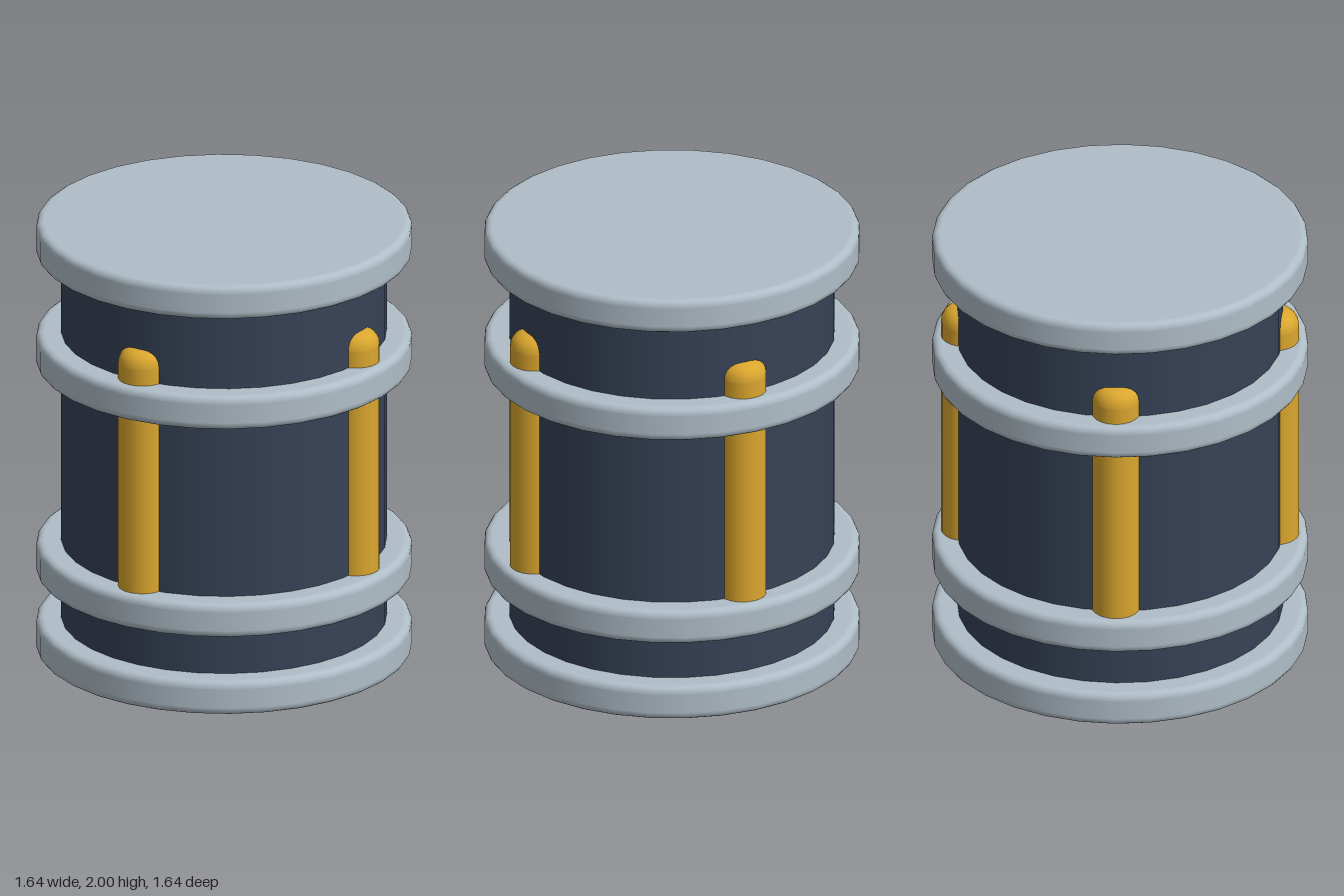
import * as THREE from 'three';

const material = (name, color) => {
  const m = new THREE.MeshStandardMaterial({ color });
  m.name = name;
  return m;
};

// Solid of revolution from y0 to y1 with rounded rims
function roundedDisc(radius, y0, y1, bevel, sides, steps) {
  const inner = radius - bevel;
  const half = [[0, 0], [inner - 0.005, 0]]; // distance from axis, inset from the end
  for (let i = 0; i <= steps; i++) {
    const a = (i / steps) * Math.PI / 2;
    half.push([inner + bevel * Math.sin(a), bevel * (1 - Math.cos(a))]);
  }
  half.push([radius, bevel + 0.005]);
  const points = half.map(([r, d]) => new THREE.Vector2(r, y0 + d));
  points.push(...half.reverse().map(([r, d]) => new THREE.Vector2(r, y1 - d)));
  return new THREE.LatheGeometry(points, sides);
}

export function createModel() {
  const group = new THREE.Group();
  const steel = material('light steel', 0xb0bec8);
  const navy = material('dark navy', 0x364256);
  const gold = material('gold', 0xdaa62e);

  const add = (name, geometry, mat) => {
    const mesh = new THREE.Mesh(geometry, mat);
    mesh.name = name;
    group.add(mesh);
    return mesh;
  };

  // Drum
  add('body', new THREE.CylinderGeometry(0.71, 0.71, 1.84, 32), navy).position.y = 1;

  // End caps and the two bands between them
  const discs = [['bottomCap', 0], ['lowerBand', 0.36], ['upperBand', 1.33], ['topCap', 1.845]];
  for (const [name, y] of discs) {
    add(name, roundedDisc(0.82, y, y + 0.155, 0.03, 32, 4), steel);
  }

  // Four round-ended rods sunk into the drum, running through the bands
  for (let i = 0; i < 4; i++) {
    const a = i * Math.PI / 2;
    const rod = add('rod', roundedDisc(0.105, 0.38, 1.63, 0.068, 20, 5), gold);
    rod.position.set(0.675 * Math.sin(a), 0, 0.675 * Math.cos(a));
  }
  return group;
}
